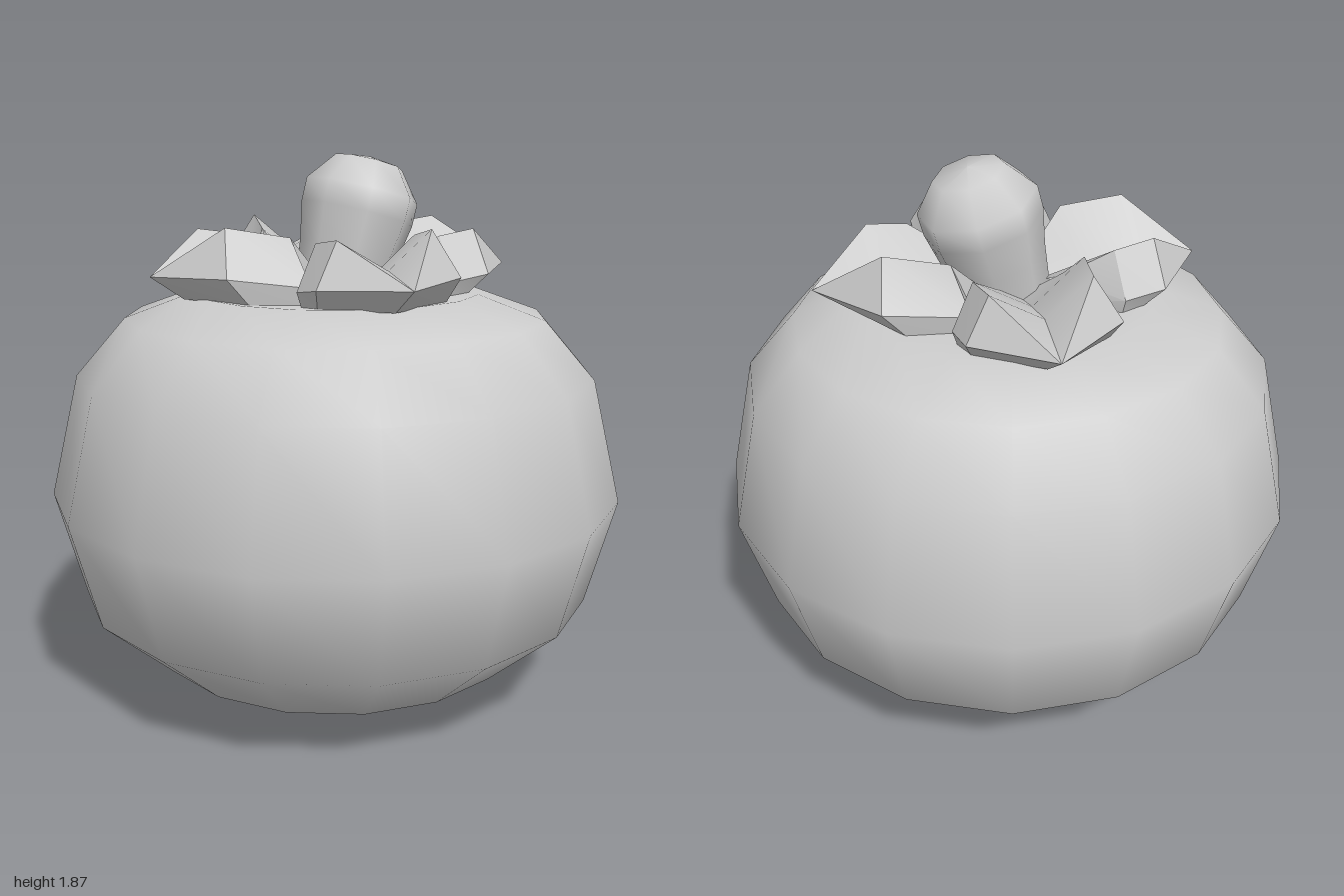
import * as THREE from 'three';
import { toCreasedNormals } from 'three/addons/utils/BufferGeometryUtils.js';

const lathe = (profile, sides, start = 0) =>
  new THREE.LatheGeometry(profile.map(([x, y]) => new THREE.Vector2(x, y)), sides, start);

// One cupped sepal pointing to +z. Each section runs from the left rim over the top and back below.
function sepalGeometry() {
  const tip = [-0.11, 1.48, 0.645];
  const under = [-0.1, 1.4, 0.53];
  const sections = [
    [[-0.17, 1.42, 0.13], [-0.15, 1.5, 0.12], [0, 1.42, 0.08], [0.12, 1.52, 0.17], [0.14, 1.42, 0.18], [0.13, 1.37, 0.18], [-0.16, 1.37, 0.13]],
    [[-0.31, 1.45, 0.28], [-0.235, 1.6, 0.27], [-0.03, 1.47, 0.26], [0.15, 1.61, 0.26], [0.22, 1.45, 0.22], [0.21, 1.39, 0.22], [-0.29, 1.39, 0.28]],
    [[-0.32, 1.47, 0.42], [-0.24, 1.62, 0.41], [-0.07, 1.52, 0.44], [0.08, 1.645, 0.46], [0.17, 1.49, 0.5], [0.17, 1.4, 0.42], [-0.28, 1.4, 0.36]],
    [tip, tip, tip, tip, tip, under, under],
  ];
  const n = 7, index = [];
  for (let k = 0; k < sections.length - 1; k++) {
    for (let i = 0; i < n; i++) {
      const j = (i + 1) % n;
      const a = k * n + i, b = k * n + j, c = a + n, d = b + n;
      index.push(a, c, b);
      if (sections[k + 1][i] !== sections[k + 1][j]) index.push(b, c, d);
    }
  }
  const geometry = new THREE.BufferGeometry();
  geometry.setAttribute('position', new THREE.Float32BufferAttribute(sections.flat(2), 3));
  geometry.setIndex(index);
  return toCreasedNormals(geometry, 0.5);
}

export function createModel() {
  const model = new THREE.Group();
  model.name = 'persimmon';
  const grey = new THREE.MeshStandardMaterial({ color: 0xcccccc });
  grey.name = 'light grey';

  // Squat round fruit with a shallow dip on top
  const fruit = new THREE.Mesh(lathe([
    [0, 0], [0.33, 0.02], [0.65, 0.12], [0.9, 0.34], [1, 0.71],
    [0.9, 1.13], [0.73, 1.325], [0.5, 1.408], [0.25, 1.39], [0, 1.36],
  ], 16), grey);
  fruit.name = 'fruit';
  model.add(fruit);

  // Four sepals around the stem
  const sepals = new THREE.Group();
  sepals.name = 'sepals';
  const geometry = sepalGeometry();
  for (let i = 0; i < 4; i++) {
    const sepal = new THREE.Mesh(geometry, grey);
    sepal.name = 'sepal' + (i + 1);
    sepal.rotation.y = i * Math.PI / 2;
    sepals.add(sepal);
  }
  model.add(sepals);

  // Leaning eight-sided stem with a rounded head
  const stem = new THREE.Mesh(lathe([
    [0.15, 0], [0.175, 0.2], [0.2, 0.33], [0.2, 0.41], [0.12, 0.51], [0, 0.53],
  ], 8, Math.PI / 8), grey);
  stem.name = 'stem';
  stem.position.set(0, 1.35, 0);
  stem.rotation.z = -0.27;
  model.add(stem);

  return model;
}
